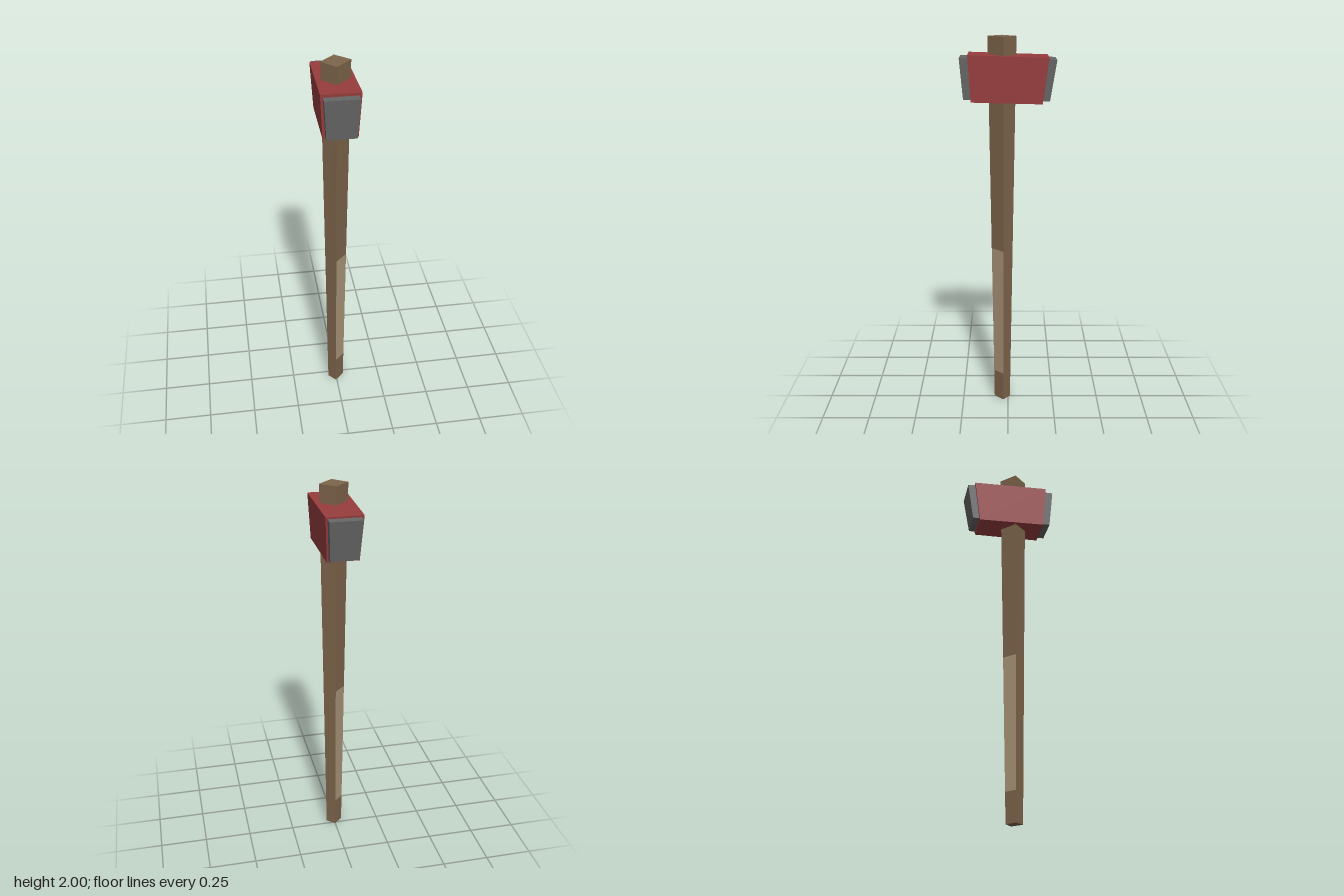
import * as THREE from 'three';

const mat = (name, color) => {
  const m = new THREE.MeshStandardMaterial({ color });
  m.name = name;
  return m;
};

// Hard-edged solid from four-cornered rings, listed bottom to top, each
// counter-clockwise from above. pick(level, side) gives the material index.
function loft(name, rings, materials, pick = () => 0) {
  const pos = [];
  const geo = new THREE.BufferGeometry();
  const quad = (a, b, c, d, m) => {
    geo.addGroup(pos.length / 3, 6, m);
    pos.push(...a, ...b, ...c, ...a, ...c, ...d);
  };
  const [b0, b1, b2, b3] = rings[0];
  quad(b0, b3, b2, b1, 0);
  for (let l = 0; l < rings.length - 1; l++) {
    const lo = rings[l], hi = rings[l + 1];
    for (let i = 0; i < 4; i++) {
      const j = (i + 1) % 4;
      quad(lo[i], lo[j], hi[j], hi[i], pick(l, i));
    }
  }
  quad(...rings[rings.length - 1], 0);
  geo.setAttribute('position', new THREE.Float32BufferAttribute(pos, 3));
  geo.computeVertexNormals();
  const mesh = new THREE.Mesh(geo, materials);
  mesh.name = name;
  return mesh;
}

// Rectangular ring whose back and front edges have their own height and width
const ring = (back, front) => [
  [back.x0, back.y, back.z], [front.x0, front.y, front.z],
  [front.x1, front.y, front.z], [back.x1, back.y, back.z],
];
const edge = (x0, x1, y, z) => ({ x0, x1, y, z });

export function createModel() {
  const wood = mat('wood', 0x7e654b);
  const paleWood = mat('pale wood', 0xab9578);
  const red = mat('red paint', 0x983d3d);
  const steel = mat('grey steel', 0x656565);
  const group = new THREE.Group();
  group.name = 'sledgehammer';

  // Handle: diamond section widening upward, pale grip on two opposite faces
  const bottom = [[-0.045, 0.032], [-0.006, 0.075], [0.043, 0.026], [0, -0.011]];
  const top = [[-0.075, 0.031], [-0.006, 0.103], [0.073, 0.023], [0, -0.043]];
  const handleRings = [0, 0.16, 0.88, 2].map((y) => bottom.map(([x, z], i) => [
    THREE.MathUtils.lerp(x, top[i][0], y / 2), y,
    THREE.MathUtils.lerp(z, top[i][1], y / 2),
  ]));
  group.add(loft('handle', handleRings, [wood, paleWood],
    (level, side) => (level === 1 && side % 2 === 1 ? 1 : 0)));

  // Head: slightly crooked block, narrower underneath
  group.add(loft('head', [
    ring(edge(-0.085, 0.078, 1.668, -0.175), edge(-0.088, 0.085, 1.678, 0.187)),
    ring(edge(-0.098, 0.09, 1.9, -0.206), edge(-0.1, 0.097, 1.913, 0.202)),
  ], [red]));

  // Striking faces: steel plates standing proud of each end
  group.add(loft('frontFace', [
    ring(edge(-0.075, 0.073, 1.69, 0.17), edge(-0.075, 0.073, 1.69, 0.226)),
    ring(edge(-0.087, 0.084, 1.898, 0.18), edge(-0.087, 0.084, 1.898, 0.244)),
  ], [steel]));
  group.add(loft('backFace', [
    ring(edge(-0.074, 0.069, 1.682, -0.212), edge(-0.074, 0.069, 1.682, -0.16)),
    ring(edge(-0.086, 0.08, 1.887, -0.245), edge(-0.086, 0.08, 1.893, -0.18)),
  ], [steel]));

  return group;
}
